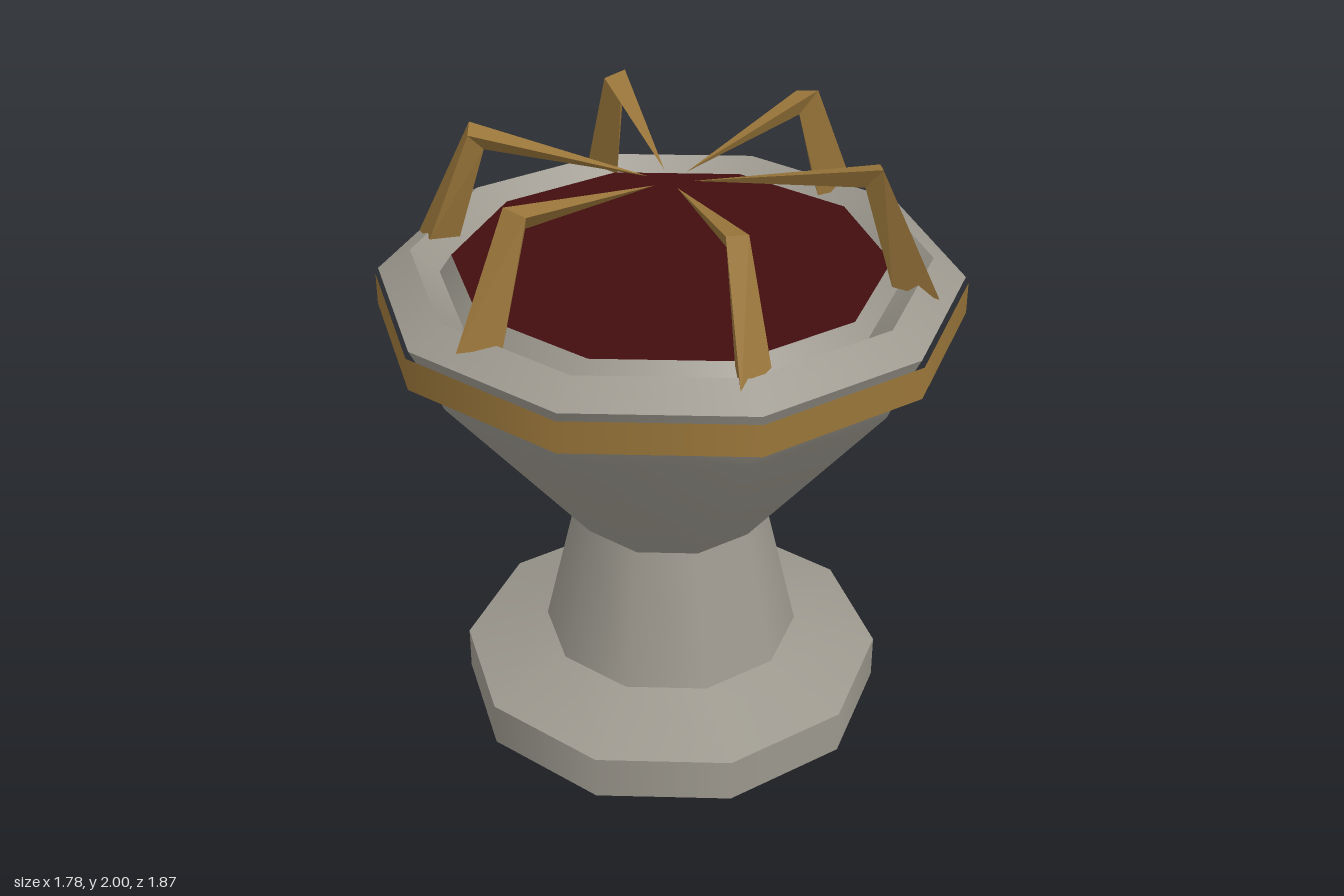
import * as THREE from 'three';
import { mergeGeometries } from 'three/addons/utils/BufferGeometryUtils.js';

const SIDES = 10;

function material(name, color) {
  const m = new THREE.MeshStandardMaterial({ color });
  m.name = name;
  return m;
}

// Turned ring: each strip of the profile is smooth around, sharp against the next strip
function turned(name, mat, ...strips) {
  const parts = strips.map(strip =>
    new THREE.LatheGeometry(strip.map(([r, y]) => new THREE.Vector2(r, y)), SIDES));
  const mesh = new THREE.Mesh(mergeGeometries(parts), mat);
  mesh.name = name;
  return mesh;
}

// Claw pointing along +z: triangular foot and knee sections, then a beam closing to a point
function clawGeometry() {
  const foot = [[-0.04, 1.6, 0.85], [0.075, 1.63, 0.77], [-0.01, 1.61, 0.7]];
  const knee = [[-0.03, 2, 0.655], [0.045, 1.985, 0.635], [0, 1.925, 0.6]];
  const tip = [0, 1.89, 0.07];
  const pos = [...foot[0], ...foot[2], ...foot[1]];
  for (let i = 0; i < 3; i++) {
    const j = (i + 1) % 3;
    pos.push(...foot[i], ...foot[j], ...knee[j], ...foot[i], ...knee[j], ...knee[i]);
    pos.push(...knee[i], ...knee[j], ...tip);
  }
  const g = new THREE.BufferGeometry();
  g.setAttribute('position', new THREE.Float32BufferAttribute(pos, 3));
  g.computeVertexNormals();
  return g;
}

export function createModel() {
  const group = new THREE.Group();
  const stone = material('stone', 0x9c988e);
  const bronze = material('bronze', 0x9a763a);
  const red = material('darkRed', 0x420d0f);

  // Foot slab and tapered stem
  group.add(turned('base', stone,
    [[0, 0], [0.71, 0]],
    [[0.71, 0], [0.71, 0.15]],
    [[0.71, 0.15], [0.43, 0.24]]));
  group.add(turned('stem', stone, [[0.43, 0.24], [0.32, 0.71]]));

  // Flaring bowl, and a lip with a groove inside it
  group.add(turned('bowl', stone,
    [[0.32, 0.71], [0.82, 1.34], [0.865, 1.45], [0.925, 1.57]]));
  group.add(turned('rim', stone,
    [[0.925, 1.57], [0.82, 1.635]],
    [[0.82, 1.635], [0.73, 1.56]],
    [[0.73, 1.56], [0.69, 1.62]]));

  // Liquid surface and the loose band around the bowl
  group.add(turned('liquid', red, [[0.69, 1.62], [0, 1.62]]));
  group.add(turned('band', bronze, [[0.935, 1.445], [0.935, 1.55]]));

  // Six claws reaching over the bowl
  const geo = clawGeometry();
  for (let i = 0; i < 6; i++) {
    const claw = new THREE.Mesh(geo, bronze);
    claw.name = 'claw' + (i + 1);
    claw.rotation.y = i * Math.PI / 3;
    group.add(claw);
  }
  return group;
}
